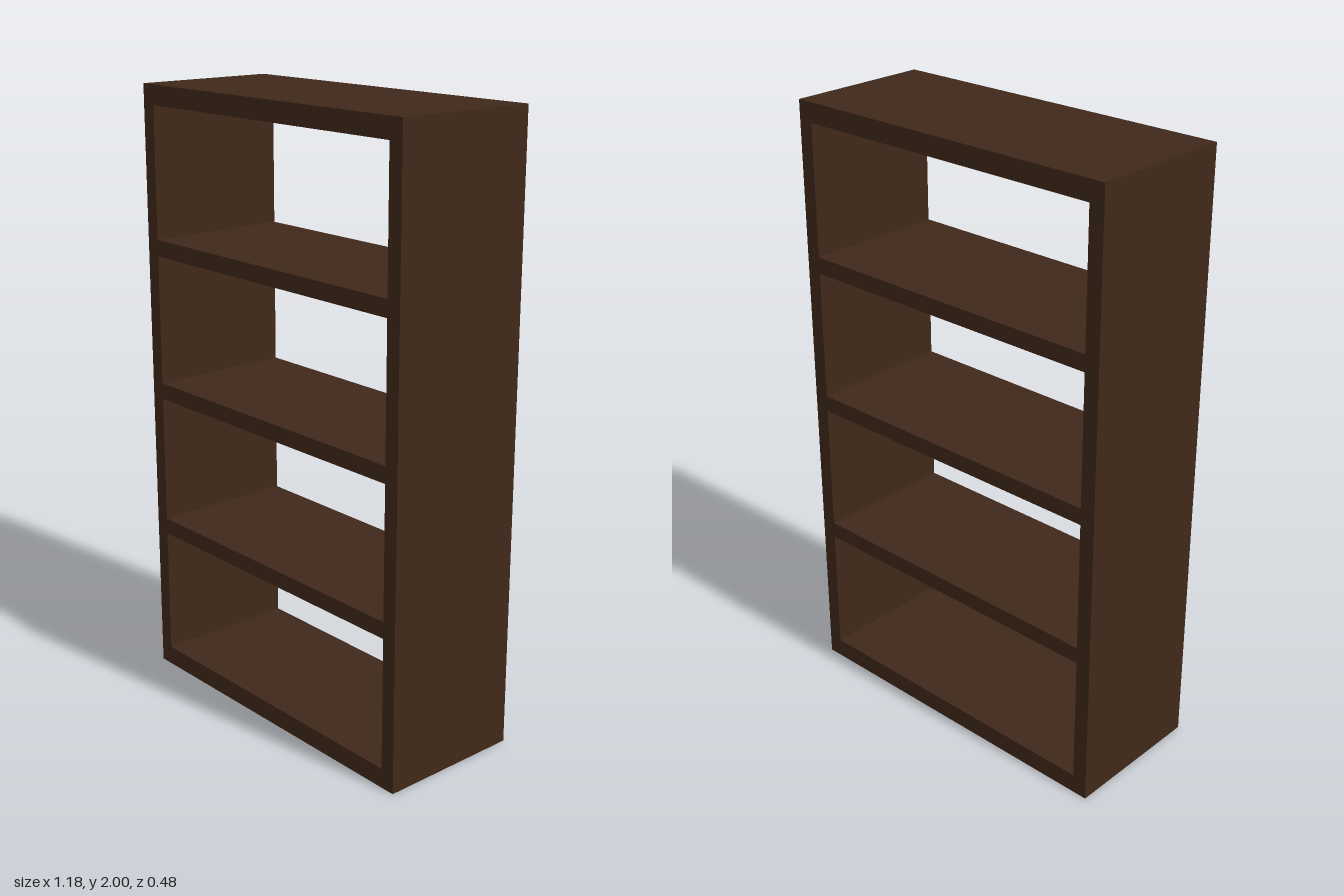
import * as THREE from 'three';

const WIDTH = 1.18, HEIGHT = 2, DEPTH = 0.484;
const SIDE = 0.05, CAP = 0.064, SHELF = 0.054;

export function createModel() {
  const model = new THREE.Group();
  model.name = 'bookcase';
  const wood = new THREE.MeshStandardMaterial({ color: 0x40281a });

  const board = (name, w, h, x, y) => {
    const mesh = new THREE.Mesh(new THREE.BoxGeometry(w, h, DEPTH), wood);
    mesh.name = name;
    mesh.position.set(x, y, 0);
    model.add(mesh);
  };

  // Top and bottom boards span the full width
  board('bottomBoard', WIDTH, CAP, 0, CAP / 2);
  board('topBoard', WIDTH, CAP, 0, HEIGHT - CAP / 2);

  // Side panels stand between them
  for (const [name, s] of [['leftPanel', 1], ['rightPanel', -1]]) {
    board(name, SIDE, HEIGHT - 2 * CAP, s * (WIDTH - SIDE) / 2, HEIGHT / 2);
  }

  // Three evenly spaced shelves, open at front and back
  for (let i = -1; i <= 1; i++) {
    board(`shelf${i + 2}`, WIDTH - 2 * SIDE, SHELF, 0, HEIGHT / 2 + i * 0.481);
  }
  return model;
}
